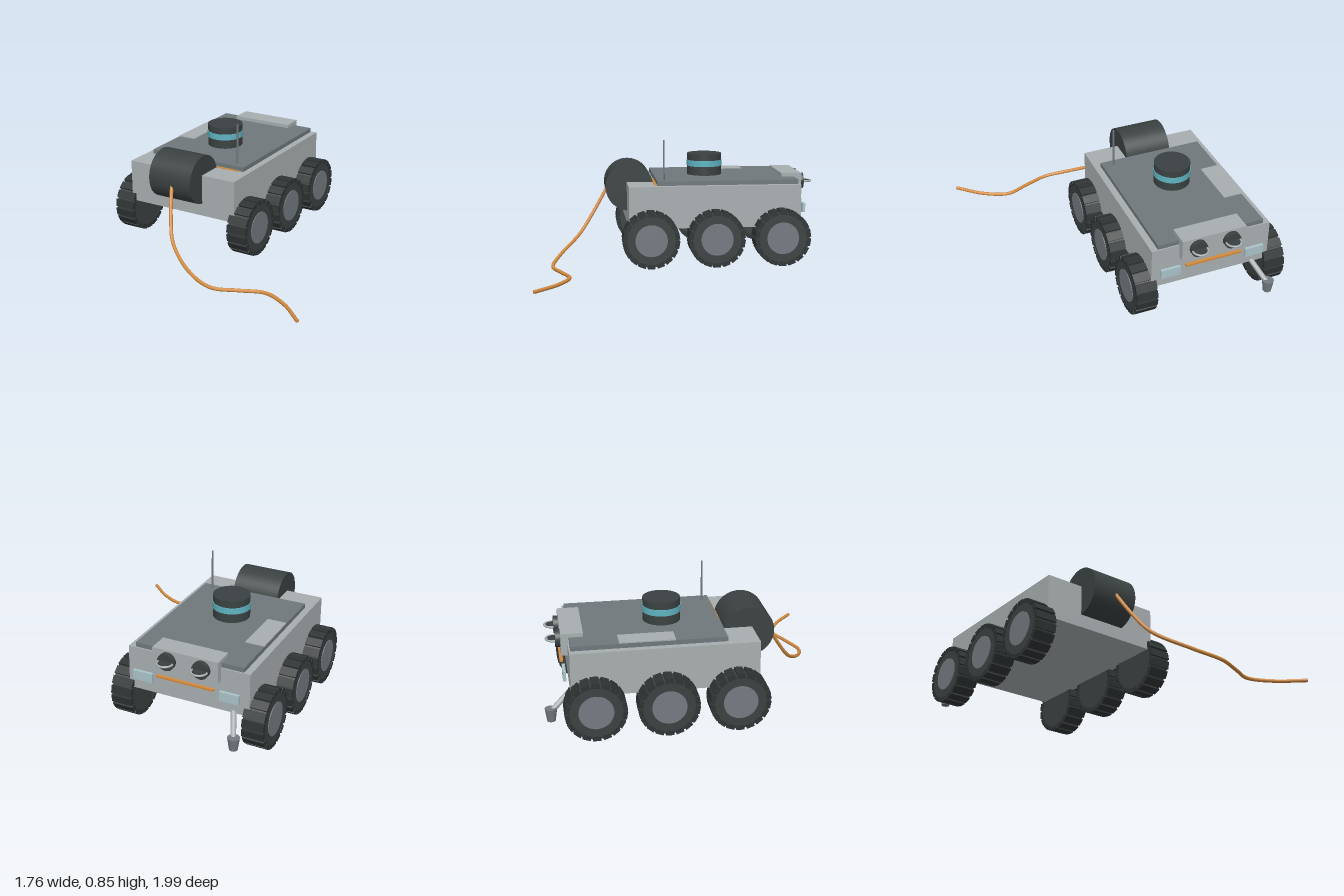
import * as THREE from 'three';

const mat = (name, color) => {
  const m = new THREE.MeshStandardMaterial({ color });
  m.name = name;
  return m;
};

export function createModel() {
  const model = new THREE.Group();
  model.name = 'rover';
  const shell = mat('light grey shell', 0xa8aeb0);
  const deck = mat('slate deck', 0x70787b);
  const rubber = mat('dark rubber', 0x3b4142);
  const tread = mat('black tread', 0x2e3334);
  const teal = mat('teal band', 0x5fb4c2);
  const orange = mat('orange', 0xd38b40);
  const glass = mat('pale glass', 0xa9c4ca);
  const hubGrey = mat('hub grey', 0x737a80);

  const add = (name, geometry, material, x = 0, y = 0, z = 0, parent = model) => {
    const mesh = new THREE.Mesh(geometry, material);
    mesh.name = name;
    mesh.position.set(x, y, z);
    parent.add(mesh);
    return mesh;
  };
  // Box given by its minimum and maximum corners
  const box = (name, material, x0, x1, y0, y1, z0, z1) =>
    add(name, new THREE.BoxGeometry(x1 - x0, y1 - y0, z1 - z0), material,
      (x0 + x1) / 2, (y0 + y1) / 2, (z0 + z1) / 2);
  const cyl = (r, h, r2 = r, n = 48) => new THREE.CylinderGeometry(r, r2, h, n);

  // Hull, deck plate and panels
  box('hull', shell, -0.77, 0.06, 0.26, 0.55, -0.835, 0.36);
  box('deckPlate', deck, -0.725, 0.015, 0.55, 0.58, -0.825, 0.16);
  box('deckPanel', shell, -0.725, -0.595, 0.578, 0.586, -0.525, -0.17);
  box('cameraHousing', shell, -0.577, -0.13, 0.46, 0.605, -0.877, -0.735);
  box('deckStripe', orange, -0.36, -0.02, 0.548, 0.554, 0.16, 0.177);
  box('rearStripe', orange, -0.55, -0.16, 0.404, 0.417, -0.887, -0.865);
  box('rearLampRight', glass, -0.715, -0.585, 0.347, 0.41, -0.877, -0.857);
  box('rearLampLeft', glass, -0.125, 0.01, 0.347, 0.41, -0.877, -0.857);

  // Cable drum across the front
  add('cableDrum', cyl(0.168, 0.325).rotateZ(Math.PI / 2), rubber, -0.3525, 0.515, 0.34);

  // Trailing cable
  const cable = new THREE.CatmullRomCurve3([
    [-0.345, 0.5, 0.49], [-0.285, 0.325, 0.595], [-0.21, 0.19, 0.69], [0, 0.088, 0.825],
    [0.2, 0.047, 0.88], [0.37, 0.045, 0.825], [0.53, 0.045, 0.77], [0.7, 0.045, 0.84],
    [0.87, 0.045, 0.985],
  ].map((p) => new THREE.Vector3(...p)));
  add('cable', new THREE.TubeGeometry(cable, 96, 0.012, 10), orange);
  for (const [t, turn] of [[0, -1], [1, 1]]) {
    const cap = add('cableEnd', new THREE.CircleGeometry(0.012, 10), orange);
    cap.position.copy(cable.getPoint(t));
    cap.lookAt(cable.getPoint(t).addScaledVector(cable.getTangent(t), turn));
  }

  // Sensor turret and antenna
  add('sensorTurret', cyl(0.122, 0.155), rubber, -0.355, 0.655, -0.21);
  add('sensorBand', cyl(0.126, 0.042), teal, -0.355, 0.664, -0.21);
  add('antenna', cyl(0.006, 0.28, 0.007, 10), hubGrey, -0.06, 0.718, 0.11);

  // Rear cameras: barrel, flat disc and surrounding ring
  for (const x of [-0.47, -0.237]) {
    const camera = new THREE.Group();
    camera.name = 'rearCamera';
    camera.position.set(x, 0.537, 0);
    model.add(camera);
    add('cameraBarrel', cyl(0.057, 0.04).rotateX(Math.PI / 2), rubber, 0, 0, -0.888, camera);
    add('cameraDisc', cyl(0.04, 0.012, 0.04, 32), rubber, 0, 0, -0.915, camera);
    add('cameraRing', new THREE.TorusGeometry(0.05, 0.007, 10, 40).rotateX(Math.PI / 2),
      shell, 0, 0, -0.915, camera);
  }

  // Rear sampling arm with tapered cup
  const arm = new THREE.LineCurve3(
    new THREE.Vector3(-0.66, 0.265, -0.825), new THREE.Vector3(-0.72, 0.155, -0.955));
  add('samplingArm', new THREE.TubeGeometry(arm, 1, 0.018, 16), shell);
  add('samplingCup', cyl(0.039, 0.085, 0.027, 24), hubGrey, -0.725, 0.132, -0.961);

  // Six wheels, each with treads and an outer hub
  const tyreGeo = cyl(0.183, 0.138).rotateZ(Math.PI / 2);
  const hubGeo = cyl(0.11, 0.02).rotateZ(Math.PI / 2);
  const treadGeo = new THREE.BoxGeometry(0.145, 0.03, 0.052);
  for (const side of [-1, 1]) {
    for (const z of [-0.69, -0.235, 0.215]) {
      const wheel = new THREE.Group();
      wheel.name = side > 0 ? 'leftWheel' : 'rightWheel';
      wheel.position.set(-0.355 + side * 0.4555, 0.197, z);
      model.add(wheel);
      add('tyre', tyreGeo, rubber, 0, 0, 0, wheel);
      add('hub', hubGeo, hubGrey, side * 0.064, 0, 0, wheel);
      for (let i = 0; i < 18; i++) {
        const a = (i / 18) * Math.PI * 2;
        const block = add('treadBlock', treadGeo, tread,
          0, Math.cos(a) * 0.179, Math.sin(a) * 0.179, wheel);
        block.rotation.x = a;
      }
    }
  }
  return model;
}
